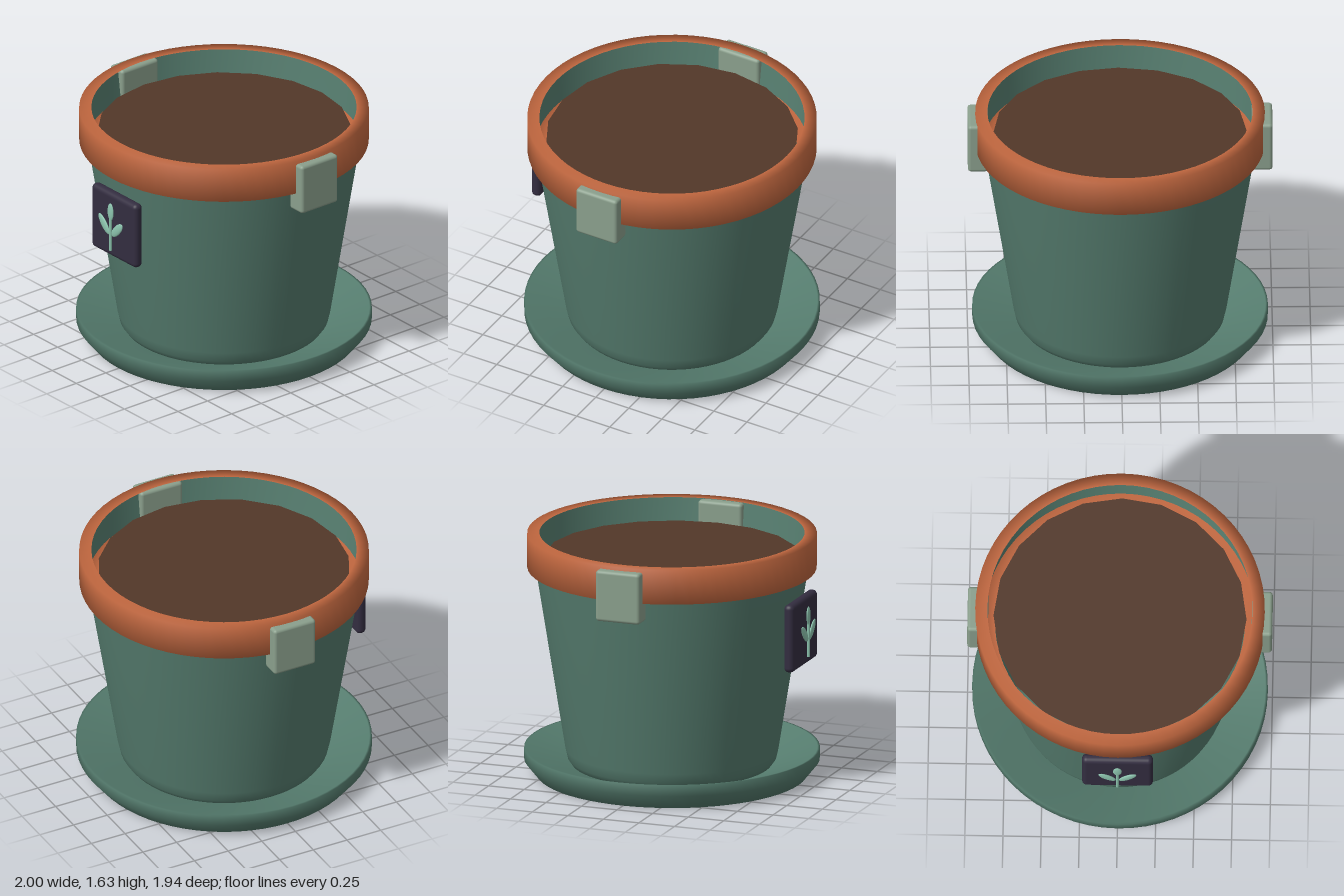
import * as THREE from 'three';
import { RoundedBoxGeometry } from 'three/addons/geometries/RoundedBoxGeometry.js';
import { toCreasedNormals } from 'three/addons/utils/BufferGeometryUtils.js';

const paint = (color, side = THREE.FrontSide) => new THREE.MeshStandardMaterial({ color, side });
const green = paint(0x557c6e, THREE.DoubleSide);
const terracotta = paint(0xc1673f, THREE.DoubleSide);
const soilBrown = paint(0x523829);
const plum = paint(0x332d40);
const sage = paint(0x8a9f8c);
const mint = paint(0x8cc4ae);

function add(parent, name, geometry, material, x = 0, y = 0, z = 0) {
  const mesh = new THREE.Mesh(geometry, material);
  mesh.name = name;
  mesh.position.set(x, y, z);
  parent.add(mesh);
  return mesh;
}

// Spins [radius, height] pairs, listed counter-clockwise around the part
function turned(profile) {
  return new THREE.LatheGeometry(profile.map(([r, y]) => new THREE.Vector2(r, y)), 64);
}

export function createModel() {
  const group = new THREE.Group();
  group.name = 'flowerPot';

  // Ring-shaped saucer: open centre, flared wall and a dish sloping inwards
  add(group, 'saucer', turned([
    [0.52, 0], [0.89, 0], [0.97, 0.1], [0.97, 0.175], [0.955, 0.175], [0.52, 0.015], [0.52, 0],
  ]), green);

  // Thin tapered pot with a rounded base
  add(group, 'pot', toCreasedNormals(turned([
    [0, 0.06], [0.62, 0.06], [0.66, 0.075], [0.685, 0.11], [0.7, 0.175],
    [0.895, 1.4], [0.928, 1.63],
  ]), 0.6), green);

  // Rim band: inner ledge, outer wall and a flat lip around the mouth
  add(group, 'rim', turned([
    [0.82, 1.4], [0.95, 1.4], [0.95, 1.632], [0.87, 1.632],
  ]), terracotta);

  // Soil surface, twenty sided
  const soil = new THREE.CylinderGeometry(0.83, 0.81, 0.06, 20);
  add(group, 'soil', toCreasedNormals(soil, 0.2), soilBrown, 0, 1.455, 0);

  // Clips on both sides of the rim
  for (const side of [-1, 1]) {
    add(group, side > 0 ? 'leftClip' : 'rightClip',
      new RoundedBoxGeometry(0.135, 0.345, 0.31, 3, 0.022), sage, side * 0.9325, 1.44, 0);
  }

  // Badge plate
  add(group, 'badge', new RoundedBoxGeometry(0.465, 0.46, 0.07, 4, 0.032), plum, 0, 1.05, 0.905);

  // Sprout emblem: stem, bud and mirrored leaves
  const sprout = new THREE.Group();
  sprout.name = 'sprout';
  sprout.position.z = 0.96;
  group.add(sprout);
  add(sprout, 'stem', new THREE.CylinderGeometry(0.009, 0.009, 0.25, 12), mint, 0, 1.005, 0);
  const leaf = new THREE.SphereGeometry(1, 24, 16);
  add(sprout, 'bud', leaf, mint, 0, 1.16, 0).scale.set(0.029, 0.062, 0.01);
  for (const side of [-1, 1]) {
    const mesh = add(sprout, side > 0 ? 'leftLeaf' : 'rightLeaf', leaf, mint, side * 0.067, 1.05, 0);
    mesh.scale.set(0.03, 0.078, 0.01);
    mesh.rotation.z = -side * 0.75;
  }
  return group;
}
